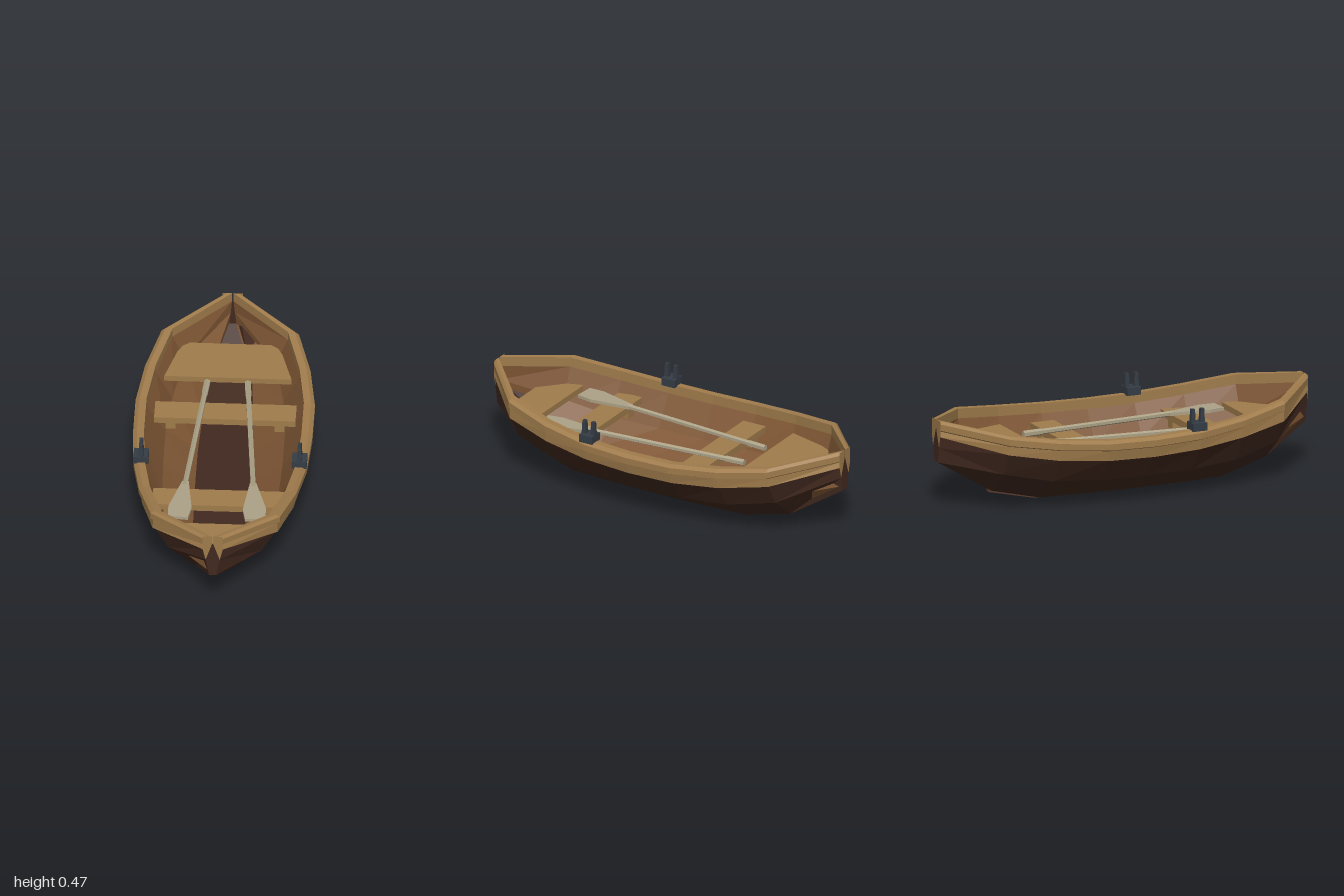
import * as THREE from 'three';

const material = (name, color) => {
  const m = new THREE.MeshStandardMaterial({ color, flatShading: true, side: THREE.DoubleSide });
  m.name = name;
  return m;
};

// Stations, bow to stern: z, rim half-width, sheer y, then x/y of band bottom, chine and floor edge
const STATIONS = [
  [1, 0.05, 0.475, 0.05, 0.395, 0.035, 0.33, 0.018, 0.235],
  [0.75, 0.32, 0.43, 0.31, 0.325, 0.23, 0.205, 0.10, 0.1],
  [0.5, 0.39, 0.388, 0.375, 0.285, 0.285, 0.15, 0.122, 0.03],
  [0.25, 0.43, 0.362, 0.41, 0.26, 0.312, 0.135, 0.133, 0.025],
  [0, 0.444, 0.355, 0.42, 0.25, 0.32, 0.13, 0.135, 0.024],
  [-0.25, 0.444, 0.36, 0.42, 0.255, 0.32, 0.135, 0.135, 0.025],
  [-0.5, 0.41, 0.38, 0.39, 0.275, 0.30, 0.15, 0.125, 0.028],
  [-0.75, 0.34, 0.412, 0.325, 0.315, 0.25, 0.20, 0.11, 0.085],
  [-1, 0.05, 0.45, 0.05, 0.37, 0.035, 0.31, 0.018, 0.235],
].map(([z, r, s, bx, by, cx, cy, fx, fy]) => ({ z, r, s, bx, by, cx, cy, fx, fy }));

const mirrored = (pts) => pts.map(([x, y]) => [-x, y]).reverse();
const inset = (x, d) => Math.max(x - d, 0.004);

// Skin between cross-sections that run from bow to stern
function loft(sections, capped = false) {
  const pos = [], idx = [], n = sections[0].pts.length;
  sections.forEach(({ z, pts }) => pts.forEach(([x, y]) => pos.push(x, y, z)));
  for (let i = 0; i < sections.length - 1; i++) {
    for (let j = 0; j < n - 1; j++) {
      const a = i * n + j, b = a + 1, c = a + n, d = c + 1;
      idx.push(a, b, c, b, d, c);
    }
  }
  if (capped) {
    const e = (sections.length - 1) * n;
    for (let j = 1; j < n - 2; j++) idx.push(0, j + 1, j, e, e + j, e + j + 1);
  }
  const g = new THREE.BufferGeometry();
  g.setAttribute('position', new THREE.Float32BufferAttribute(pos, 3));
  g.setIndex(idx);
  g.computeVertexNormals();
  return g;
}

const hullLoft = (profile) => loft(STATIONS.map((s) => ({ z: s.z, pts: profile(s) })));
const flatShape = (pts) => new THREE.Shape(pts.map(([x, y]) => new THREE.Vector2(x, y)));

// Horizontal board from a plan outline in x and z, with its top at y
function board(outline, top, thick) {
  const g = new THREE.ExtrudeGeometry(flatShape(outline.map(([x, z]) => [x, -z])), { depth: thick, bevelEnabled: false });
  return g.rotateX(-Math.PI / 2).translate(0, top - thick, 0);
}

export function createModel() {
  const boat = new THREE.Group();
  boat.name = 'rowingBoat';
  const trim = material('light wood', 0xa07c4c);
  const inner = material('inner wood', 0x7e5634);
  const dark = material('dark wood', 0x42291f);
  const keelWood = material('keel wood', 0x573a2d);
  const oarWood = material('pale oar wood', 0xaca287);
  const metal = material('dark metal', 0x353c45);

  const add = (name, geometry, mat, parent = boat) => {
    const mesh = new THREE.Mesh(geometry, mat);
    mesh.name = name;
    parent.add(mesh);
    return mesh;
  };
  const box = (name, size, at, mat, parent) =>
    add(name, new THREE.BoxGeometry(...size).translate(...at), mat, parent);

  // Outer hull
  add('outerHull', hullLoft((s) => {
    const half = [[s.bx - 0.01, s.by], [s.cx, s.cy], [s.fx, s.fy]];
    return [...half, ...mirrored(half)];
  }), dark);

  // Gunwale and rubbing strake, and the inner walls
  const rim = (s) => [
    [inset(s.r, 0.055), s.s - 0.05], [inset(s.r, 0.055), s.s], [s.r - 0.02, s.s], [s.r, s.s - 0.014],
    [s.r, s.s - 0.046], [s.r - 0.013, s.s - 0.052], [s.bx, s.by], [s.bx - 0.012, s.by],
  ];
  const wall = (s) => [
    [inset(s.fx, 0), s.fy + 0.025], [inset(s.cx, 0.025), s.cy + 0.02], [inset(s.r, 0.055), s.s - 0.05],
  ];
  add('leftGunwale', hullLoft(rim), trim);
  add('rightGunwale', hullLoft((s) => mirrored(rim(s))), trim);
  add('leftInnerWall', hullLoft(wall), inner);
  add('rightInnerWall', hullLoft((s) => mirrored(wall(s))), inner);
  add('floor', hullLoft((s) => [[-s.fx, s.fy + 0.025], [s.fx, s.fy + 0.025]]), dark);

  // Narrow end faces at bow and stern
  for (const s of [STATIONS[0], STATIONS[8]]) {
    const end = new THREE.Group();
    end.name = s.z > 0 ? 'bowEnd' : 'sternEnd';
    end.position.z = s.z;
    if (s.z < 0) end.rotation.y = Math.PI;
    boat.add(end);
    const low = [[s.cx, s.cy], [0, s.s - 0.04], [-s.cx, s.cy], [-s.fx, s.fy], [s.fx, s.fy]];
    add('stem', new THREE.ShapeGeometry(flatShape(low)), dark, end);
    const cheek = [[0.003, s.s], [0.003, s.s - 0.045], [s.cx, s.cy], [s.bx, s.by], [s.r, s.s]];
    add('leftCheek', new THREE.ShapeGeometry(flatShape(cheek)), trim, end);
    add('rightCheek', new THREE.ShapeGeometry(flatShape(mirrored(cheek))), trim, end);
  }

  // Keel, tapered at both ends
  const keel = [[0.72, 0.012, 0.065, 0.11], [0.48, 0.024, 0, 0.04], [-0.48, 0.024, 0, 0.04], [-0.72, 0.012, 0.052, 0.09]];
  add('keel', loft(keel.map(([z, w, y0, y1]) => ({ z, pts: [[w, y1], [w, y0], [-w, y0], [-w, y1], [w, y1]] })), true), keelWood);

  // End seats and cross benches with brackets under them
  const seat = (name, half) => add(name, board([...half, ...mirrored(half)], 0.3, 0.03), trim);
  seat('bowSeat', [[0.27, 0.67], [0.25, 0.735], [0.115, 0.86]]);
  seat('sternSeat', [[0.315, -0.51], [0.26, -0.71], [0.235, -0.76], [0.2, -0.785]]);
  for (const [name, z, w] of [['rearBench', -0.265, 0.7], ['frontBench', 0.435, 0.65]]) {
    box(name, [w, 0.034, 0.13], [0, 0.263, z], trim);
    for (const side of [-1, 1]) {
      box('benchBracket', [0.05, 0.05, 0.1], [side * (w / 2 - 0.08), 0.225, z], trim);
    }
  }

  for (const side of [-1, 1]) {
    const label = side > 0 ? 'left' : 'right';

    // Oar resting on the benches
    const oar = new THREE.Group();
    oar.name = label + 'Oar';
    oar.position.set(side * 0.1, 0.296, -0.48);
    oar.rotation.y = side * 0.082;
    boat.add(oar);
    add('shaft', new THREE.CylinderGeometry(0.014, 0.014, 0.84, 6).rotateX(Math.PI / 2).translate(0, 0, 0.42), oarWood, oar);
    add('grip', new THREE.CylinderGeometry(0.017, 0.017, 0.1, 6).rotateX(Math.PI / 2).translate(0, 0, 0.05), oarWood, oar);
    const blade = [[0.016, 0.82], [0.058, 1.03], [0.05, 1.11]];
    add('blade', board([...blade, ...mirrored(blade)], 0.008, 0.016), oarWood, oar);

    // Oarlock: base block with two tapered prongs
    const lock = new THREE.Group();
    lock.name = label + 'Oarlock';
    lock.position.set(side * 0.392, 0, 0.24);
    boat.add(lock);
    box('base', [0.074, 0.04, 0.076], [0, 0.377, 0], metal, lock);
    for (const z of [-0.025, 0.025]) {
      const prong = new THREE.CylinderGeometry(0.013, 0.018, 0.08, 4).rotateY(Math.PI / 4).translate(0, 0.425, z);
      add('prong', prong, metal, lock);
    }
  }
  return boat;
}
